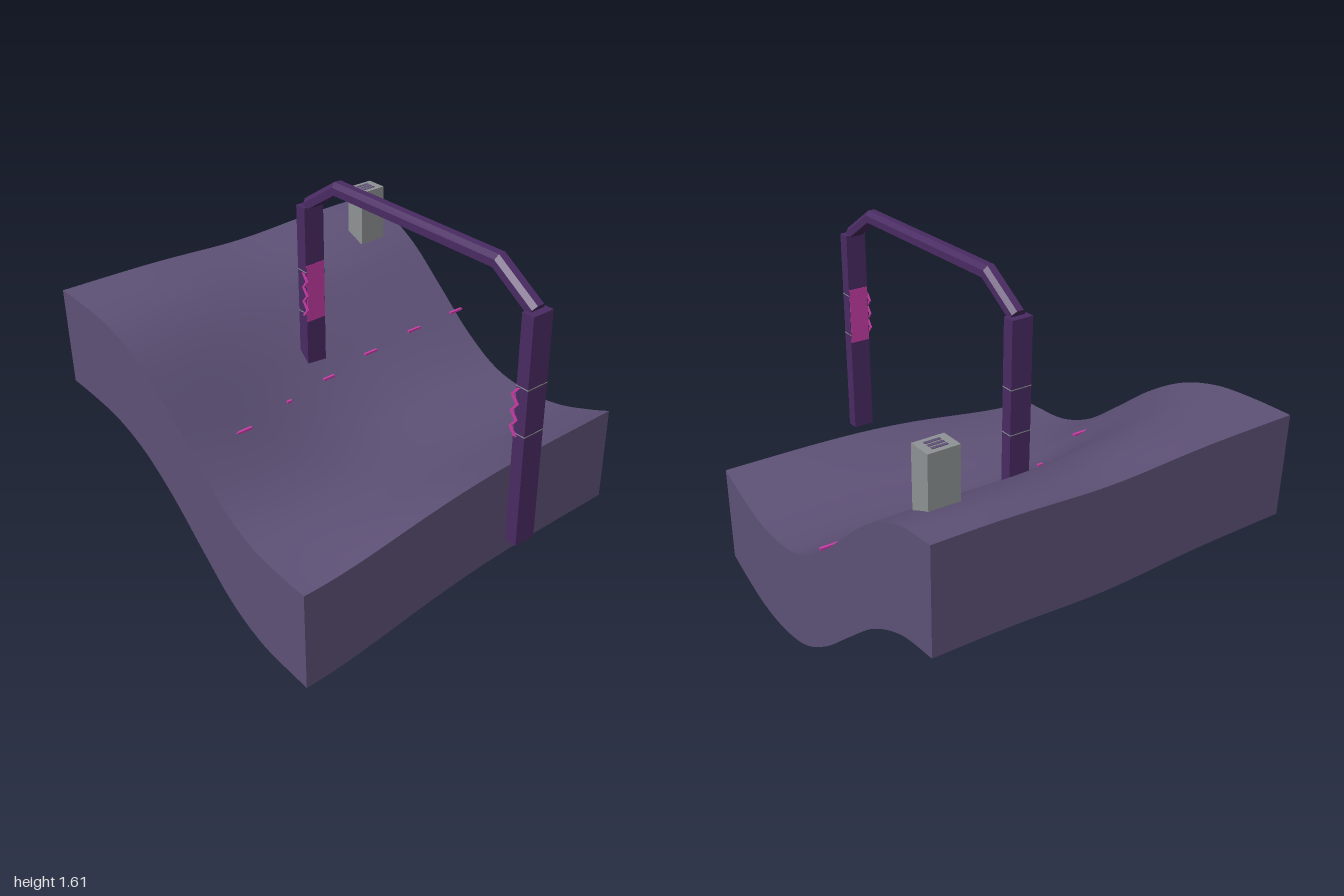
import * as THREE from 'three';

const mat = (name, color, side = THREE.FrontSide) => {
  const m = new THREE.MeshStandardMaterial({ color, side });
  m.name = name;
  return m;
};

const X0 = -1, X1 = 0.7, Z0 = -0.83, Z1 = 0.87, DEPTH = 0.455;

// Hill profiles along x at the front and back edges
const xs = [-1, -0.8, -0.6, -0.4, -0.2, 0, 0.2, 0.4, 0.6, 0.7];
const frontProfile = new THREE.CubicInterpolant(xs,
  [1.06, 1.057, 1.038, 0.975, 0.858, 0.702, 0.555, 0.475, 0.457, 0.455], 1);
const backProfile = new THREE.CubicInterpolant(xs,
  [1.065, 1.04, 0.945, 0.782, 0.613, 0.494, 0.455, 0.468, 0.53, 0.57], 1);

// Terrain height: blend of both profiles, a saddle on the high side and a hollow on the slope
function height(x, z) {
  const u = THREE.MathUtils.clamp((z - Z0) / (Z1 - Z0), 0, 1);
  const w = THREE.MathUtils.smoothstep(1 - u * u, 0, 1) ** 1.2;
  const f = frontProfile.evaluate(x)[0], b = backProfile.evaluate(x)[0];
  const saddle = 0.025 * Math.exp(-(((z + 0.06) / 0.36) ** 2)) * THREE.MathUtils.smoothstep(-x, 0.3, 0.9);
  const hollow = 0.62 * u ** 3 * (1 - u) * Math.exp(-(((x + 0.2) / 0.35) ** 2));
  return f * (1 - w) + b * w - saddle - hollow;
}

export function createModel() {
  const group = new THREE.Group();
  const ground = mat('dusty purple', 0x5e5177, THREE.DoubleSide);
  const frame = mat('deep violet', 0x4a2b63);
  const stone = mat('grey', 0x8f9395);
  const glow = mat('magenta', 0xc83ca6, THREE.DoubleSide);

  const add = (name, geo, material, x = 0, y = 0, z = 0) => {
    const m = new THREE.Mesh(geo, material);
    m.name = name;
    m.position.set(x, y, z);
    group.add(m);
  };
  // Box given by its minimum and maximum corners
  const box = (name, material, a, b) => add(name,
    new THREE.BoxGeometry(b[0] - a[0], b[1] - a[1], b[2] - a[2]), material,
    (a[0] + b[0]) / 2, (a[1] + b[1]) / 2, (a[2] + b[2]) / 2);

  // Terrain skin
  const top = new THREE.PlaneGeometry(X1 - X0, Z1 - Z0, 56, 56);
  top.rotateX(-Math.PI / 2);
  top.translate((X0 + X1) / 2, 0, (Z0 + Z1) / 2);
  const p = top.attributes.position;
  for (let i = 0; i < p.count; i++) p.setY(i, height(p.getX(i), p.getZ(i)));
  top.computeVertexNormals();
  add('terrainTop', top, ground);

  // Skirt walls following the terrain edge, open underneath
  const corners = [[X0, Z1], [X1, Z1], [X1, Z0], [X0, Z0]];
  corners.forEach((a, k) => {
    const b = corners[(k + 1) % 4];
    const wall = new THREE.PlaneGeometry(1, 1, 56, 1);
    const q = wall.attributes.position;
    for (let i = 0; i < q.count; i++) {
      const t = q.getX(i) + 0.5;
      const x = a[0] + (b[0] - a[0]) * t, z = a[1] + (b[1] - a[1]) * t;
      q.setXYZ(i, x, height(x, z) - (q.getY(i) > 0 ? 0 : DEPTH), z);
    }
    wall.computeVertexNormals();
    add('terrainWall', wall, ground);
  });

  // Gate posts with thin bands, magenta inner panels and zigzag strips
  for (const [x, inner] of [[-0.327, 1], [0.969, -1]]) {
    box('gatePost', frame, [x - 0.028, 0.458, -0.03], [x + 0.028, 1.45, 0.07]);
    for (const y of [0.955, 1.155]) {
      box('gateBand', stone, [x - 0.029, y - 0.002, -0.031], [x + 0.029, y + 0.002, 0.071]);
    }
    const face = x + inner * 0.028;
    box('gatePanel', glow, [face - 0.002, 0.915, -0.028], [face + 0.002, 1.185, 0.068]);

    const zig = new THREE.Shape();
    const n = 6, y0 = 0.945, step = 0.205 / n;
    const tooth = i => x + inner * (i % 2 ? 0.046 : 0.02);
    for (let i = 0; i <= n; i++) zig[i ? 'lineTo' : 'moveTo'](tooth(i), y0 + i * step);
    for (let i = n; i >= 0; i--) zig.lineTo(tooth(i) - inner * 0.012, y0 + i * step);
    add('gateZigzag', new THREE.ExtrudeGeometry(zig, { depth: 0.007, bevelEnabled: false }),
      glow, 0, 0, 0.0715);
  }

  // Cross beam: chamfered section swept along a mitred path
  const path = [[-0.325, 1.455], [-0.132, 1.58], [0.777, 1.58], [0.967, 1.455]]
    .map(v => new THREE.Vector2(...v));
  const section = [[0.025, -0.016], [0.025, 0.016], [0.006, 0.033], [-0.025, 0.033],
    [-0.025, -0.033], [0.006, -0.033]];
  const rings = path.map((c, i) => {
    const d1 = path[Math.min(i + 1, 3)].clone().sub(path[Math.min(i, 2)]).normalize();
    const d0 = i > 0 ? c.clone().sub(path[i - 1]).normalize() : d1;
    const t = d0.clone().add(d1).normalize();
    const stretch = 1 / t.dot(d0);
    return section.map(([h, z]) => [c.x - t.y * h * stretch, c.y + t.x * h * stretch, z + 0.02]);
  });
  const tri = [];
  for (let i = 0; i < 3; i++) {
    for (let j = 0; j < 6; j++) {
      const k = (j + 1) % 6;
      const a = rings[i][j], b = rings[i][k], c = rings[i + 1][k], d = rings[i + 1][j];
      tri.push(...a, ...b, ...c, ...a, ...c, ...d);
    }
  }
  for (let j = 1; j < 5; j++) {
    tri.push(...rings[0][0], ...rings[0][j + 1], ...rings[0][j]);
    tri.push(...rings[3][0], ...rings[3][j], ...rings[3][j + 1]);
  }
  const beam = new THREE.BufferGeometry();
  beam.setAttribute('position', new THREE.Float32BufferAttribute(tri, 3));
  beam.computeVertexNormals();
  add('gateBeam', beam, frame);

  // Small tower with roof slots
  box('tower', stone, [-0.771, 0.988, -0.69], [-0.667, 1.253, -0.553]);
  for (const x of [-0.742, -0.719, -0.696]) {
    box('roofSlot', ground, [x - 0.007, 1.251, -0.655], [x + 0.007, 1.255, -0.588]);
  }

  // Course markers along the slope
  for (const [x, z, len] of [[-0.28, -0.83, 0.08], [-0.275, -0.55, 0.075], [-0.26, -0.265, 0.075],
    [-0.225, 0.012, 0.06], [-0.17, 0.275, 0.025], [-0.07, 0.585, 0.08]]) {
    const y = height(x, z) + 0.006;
    box('slopeMarker', glow, [x - 0.006, y - 0.005, z - len / 2], [x + 0.006, y + 0.005, z + len / 2]);
  }
  return group;
}
